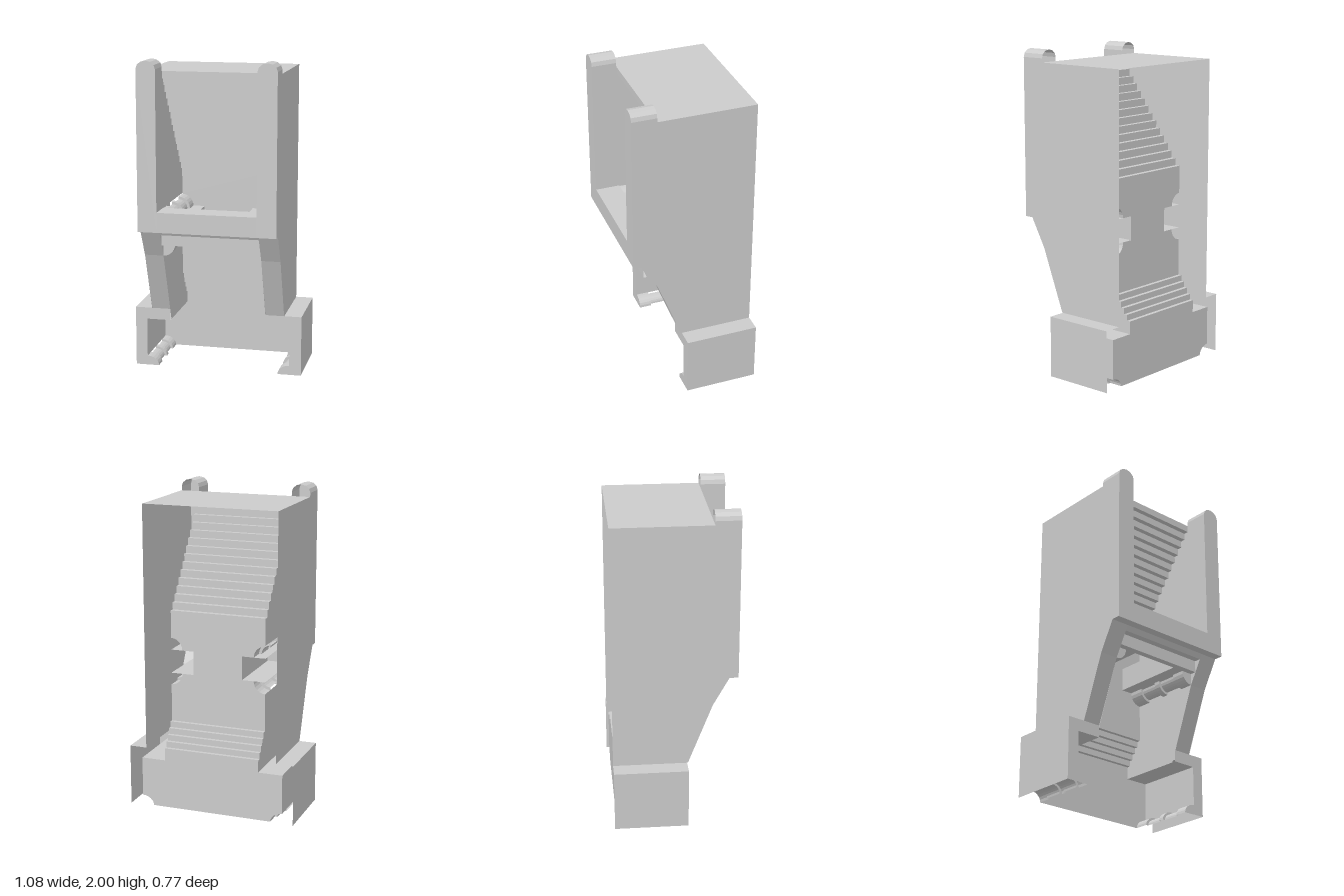
import * as THREE from 'three';

const mat = new THREE.MeshStandardMaterial({ color: 0xcccccc, side: THREE.DoubleSide });

function mesh(name, geo, parent) {
  const m = new THREE.Mesh(geo, mat);
  m.name = name;
  parent.add(m);
  return m;
}

// Flat sheet from an (x, y) outline at depth z
function frontPlate(name, pts, z, parent) {
  const shape = new THREE.Shape(pts.map(([x, y]) => new THREE.Vector2(x, y)));
  return mesh(name, new THREE.ShapeGeometry(shape).translate(0, 0, z), parent);
}

// Flat sheet from a (z, y) outline at position x
function sidePlate(name, pts, x, parent) {
  const shape = new THREE.Shape(pts.map(([z, y]) => new THREE.Vector2(z, y)));
  return mesh(name, new THREE.ShapeGeometry(shape).rotateY(-Math.PI / 2).translate(x, 0, 0), parent);
}

// Folded strip: a path swept straight between two corners made by the function at()
function strip(name, path, at, a, b, parent) {
  const pos = [];
  for (let i = 0; i < path.length - 1; i++) {
    const [p, q] = [path[i], path[i + 1]];
    pos.push(...at(p, a), ...at(q, a), ...at(q, b), ...at(p, a), ...at(q, b), ...at(p, b));
  }
  const geo = new THREE.BufferGeometry();
  geo.setAttribute('position', new THREE.Float32BufferAttribute(pos, 3));
  geo.computeVertexNormals();
  return mesh(name, geo, parent);
}
const alongX = ([z, y], x) => [x, y, z];
const alongZ = ([x, y], z) => [x, y, z];

// Points on an arc in the front plane
function arc(cx, cy, rx, ry, from, to, n) {
  return Array.from({ length: n + 1 }, (_, i) => {
    const t = from + (to - from) * i / n;
    return [cx + rx * Math.cos(t), cy + ry * Math.sin(t)];
  });
}

// Quarter-round rod along z with a thinner waist between its collars
function rod(name, x, y, zBack, zFront, phi, parent) {
  const R = 0.075, r = 0.058, L = zFront - zBack;
  const prof = [[R, 0], [R, 0.2], [r, 0.2], [r, 0.47], [R, 0.47], [R, 0.55], [r, 0.55], [r, 0.82], [R, 0.82], [R, 1], [0, 1]];
  const pos = [];
  const n = 6;
  for (let i = 0; i < n; i++) {
    for (let k = 0; k < prof.length - 1; k++) {
      const v = (p, t) => [x + p[0] * Math.cos(t), y + p[0] * Math.sin(t), zBack + p[1] * L];
      const t0 = phi + i * Math.PI / 2 / n, t1 = phi + (i + 1) * Math.PI / 2 / n;
      const [p, q] = [prof[k], prof[k + 1]];
      pos.push(...v(p, t0), ...v(p, t1), ...v(q, t1), ...v(p, t0), ...v(q, t1), ...v(q, t0));
    }
  }
  const geo = new THREE.BufferGeometry();
  geo.setAttribute('position', new THREE.Float32BufferAttribute(pos, 3));
  geo.computeVertexNormals();
  return mesh(name, geo, parent);
}

// Staircase path in (z, y)
function stairs(z0, y0, z1, y1, n) {
  const pts = [[z0, y0]];
  for (let i = 1; i <= n; i++) {
    const y = y0 + (y1 - y0) * i / n;
    pts.push([z0 + (z1 - z0) * (i - 1) / n, y], [z0 + (z1 - z0) * i / n, y]);
  }
  return pts;
}

const W = 0.43, IN = 0.31, FOOT = 0.54, FOOT_IN = 0.465;
const BACK = -0.385, FRONT = 0.385, FOOT_FRONT = 0.075;
const WALL = -0.25, FOOT_WALL = -0.37, CLIP = 0.23, TOP = 1.925;

const upperStairs = stairs(0.23, TOP, WALL, 1.25, 15);
const lowerStairs = stairs(WALL, 0.575, FOOT_WALL, 0.39, 5);

function buildSide() {
  const g = new THREE.Group();

  // Outer skin and sloping front edge
  sidePlate('outerWall', [[BACK, 0.385], [0.08, 0.385], [0.23, 0.775], [0.33, 0.955], [FRONT, 0.955],
    [FRONT, 1.95], [0.23, 1.95], [0.23, TOP], [BACK, TOP]], W, g);
  strip('slopedFront', [[FRONT, 0.955], [0.33, 0.955], [0.23, 0.775], [FOOT_FRONT, 0.385]], alongX, IN, W, g);

  // Front post with rounded cap
  const cap = arc(0.37, 1.95, 0.06, 0.05, 0, Math.PI, 6);
  frontPlate('post', [[IN, 0.955], [W, 0.955], ...cap], FRONT, g);
  strip('postCap', cap, alongZ, 0.23, FRONT, g);

  // Inner walls, following the stairs at the back
  sidePlate('upperInnerWall', [[FRONT, 1.08], [FRONT, 1.95], [0.23, 1.95], ...upperStairs, [WALL, 1.08]], IN, g);
  sidePlate('lowerInnerWall', [[0.05, 0.31], [0.08, 0.385], [0.23, 0.775], [0.33, 0.955], [CLIP, 0.955],
    [CLIP, 0.775], [WALL, 0.775], ...lowerStairs, [FOOT_WALL, 0.31]], IN, g);

  // Clip block with a rod above and below
  strip('clipBlock', [[IN, 0.85], [0.16, 0.85], [0.16, 1], [IN, 1]], alongZ, WALL, CLIP, g);
  rod('upperClipRod', IN, 1, WALL, CLIP, Math.PI / 2, g);
  rod('lowerClipRod', IN, 0.85, WALL, CLIP, Math.PI, g);

  // Foot
  sidePlate('footOuterWall', [[BACK, 0], [FOOT_FRONT, 0], [FOOT_FRONT, 0.385], [BACK, 0.385]], FOOT, g);
  strip('footTop', [[BACK, 0.385], [FOOT_FRONT, 0.385]], alongX, W, FOOT, g);
  frontPlate('footFront', [[FOOT, 0], [FOOT, 0.385], [IN, 0.385], [IN, 0.31], [FOOT_IN, 0.31],
    ...arc(FOOT_IN, 0, 0.075, 0.06, Math.PI / 2, Math.PI, 6)], FOOT_FRONT, g);
  strip('footInnerWall', [[IN, 0.31], [FOOT_IN, 0.31], [FOOT_IN, 0.06]], alongZ, FOOT_WALL, FOOT_FRONT, g);
  rod('footRod', FOOT_IN, 0, FOOT_WALL, FOOT_FRONT - 0.002, Math.PI / 2, g).scale.y = 0.8;
  return g;
}

export function createModel() {
  const model = new THREE.Group();
  model.name = 'housing';

  // Mirrored halves
  for (const s of [1, -1]) {
    const side = buildSide();
    side.name = s > 0 ? 'leftSide' : 'rightSide';
    side.scale.x = s;
    model.add(side);
  }

  // Top plate and stepped back panels
  strip('topPlate', [[BACK, TOP], [0.23, TOP]], alongX, -W, W, model);
  strip('upperStairs', upperStairs, alongX, -IN, IN, model);
  strip('lowerStairs', lowerStairs, alongX, -IN, IN, model);

  // Back panel, notched around the clips
  const half = [[IN, 0.575], [IN, 0.775], ...arc(IN, 0.85, 0.075, 0.075, Math.PI * 1.5, Math.PI, 6),
    [0.16, 0.85], [0.16, 1], ...arc(IN, 1, 0.075, 0.075, Math.PI, Math.PI / 2, 6), [IN, 1.25]];
  const mirror = (pts) => [...pts, ...pts.map(([x, y]) => [-x, y]).reverse()];
  frontPlate('backPanel', mirror(half), WALL, model);

  // Foot panel with rounded lower corners
  frontPlate('footPanel', mirror([...arc(FOOT_IN, 0, 0.075, 0.06, Math.PI, Math.PI / 2, 6),
    [FOOT_IN, 0.31], [IN, 0.31], [IN, 0.39]]), FOOT_WALL, model);

  // Cross bar between the upper and lower openings
  strip('crossBar', [[FRONT, 0.955], [0.33, 0.955], [0.313, 0.925], [0.27, 0.925], [0.27, 0.85],
    [CLIP, 0.85], [CLIP, 1.08], [FRONT, 1.08], [FRONT, 0.955]], alongX, -IN, IN, model);
  return model;
}
